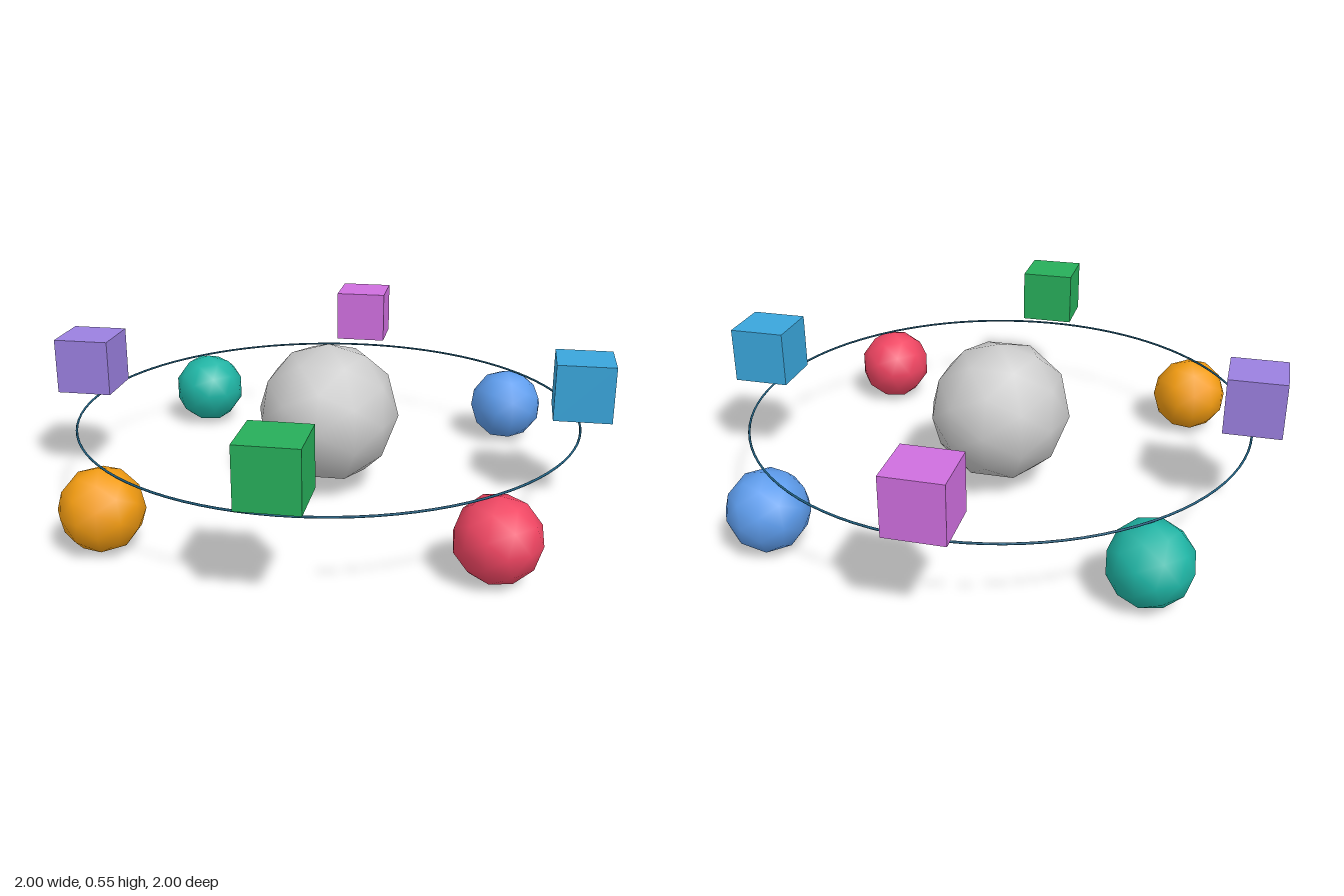
import * as THREE from 'three';

const RING_RADIUS = 0.9;
const RING_Y = 0.298;

function addPart(parent, name, geometry, color) {
  const mesh = new THREE.Mesh(geometry, new THREE.MeshStandardMaterial({ color }));
  mesh.name = name;
  parent.add(mesh);
  return mesh;
}

export function createModel() {
  const model = new THREE.Group();
  model.name = 'orbitingShapes';

  // Central sphere
  const core = addPart(model, 'centralSphere', new THREE.IcosahedronGeometry(0.257, 1), 0xcccccc);
  core.position.y = RING_Y;

  // Thin horizontal orbit ring
  const ring = addPart(model, 'orbitRing', new THREE.TorusGeometry(RING_RADIUS, 0.004, 6, 96), 0x1f5f80);
  ring.rotation.x = Math.PI / 2;
  ring.position.y = RING_Y;

  // Alternating cubes (above the ring) and spheres (below it), starting at +x and turning toward +z
  const cubeGeometry = new THREE.BoxGeometry(0.2, 0.2, 0.2);
  const sphereGeometry = new THREE.IcosahedronGeometry(0.143, 1);
  const colors = [0x3aa6dc, 0xef4562, 0x27ae5a, 0xf39c12, 0x9b80e0, 0x1fb5a5, 0xcf6fdf, 0x5d9cec];
  colors.forEach((color, i) => {
    const angle = (i * Math.PI) / 4;
    const isCube = i % 2 === 0;
    const part = addPart(
      model,
      isCube ? 'orbitCube' : 'orbitSphere',
      isCube ? cubeGeometry : sphereGeometry,
      color
    );
    part.position.set(
      RING_RADIUS * Math.cos(angle),
      RING_Y + (isCube ? 0.15 : -0.15),
      RING_RADIUS * Math.sin(angle)
    );
    part.rotation.y = -angle;
  });

  return model;
}
